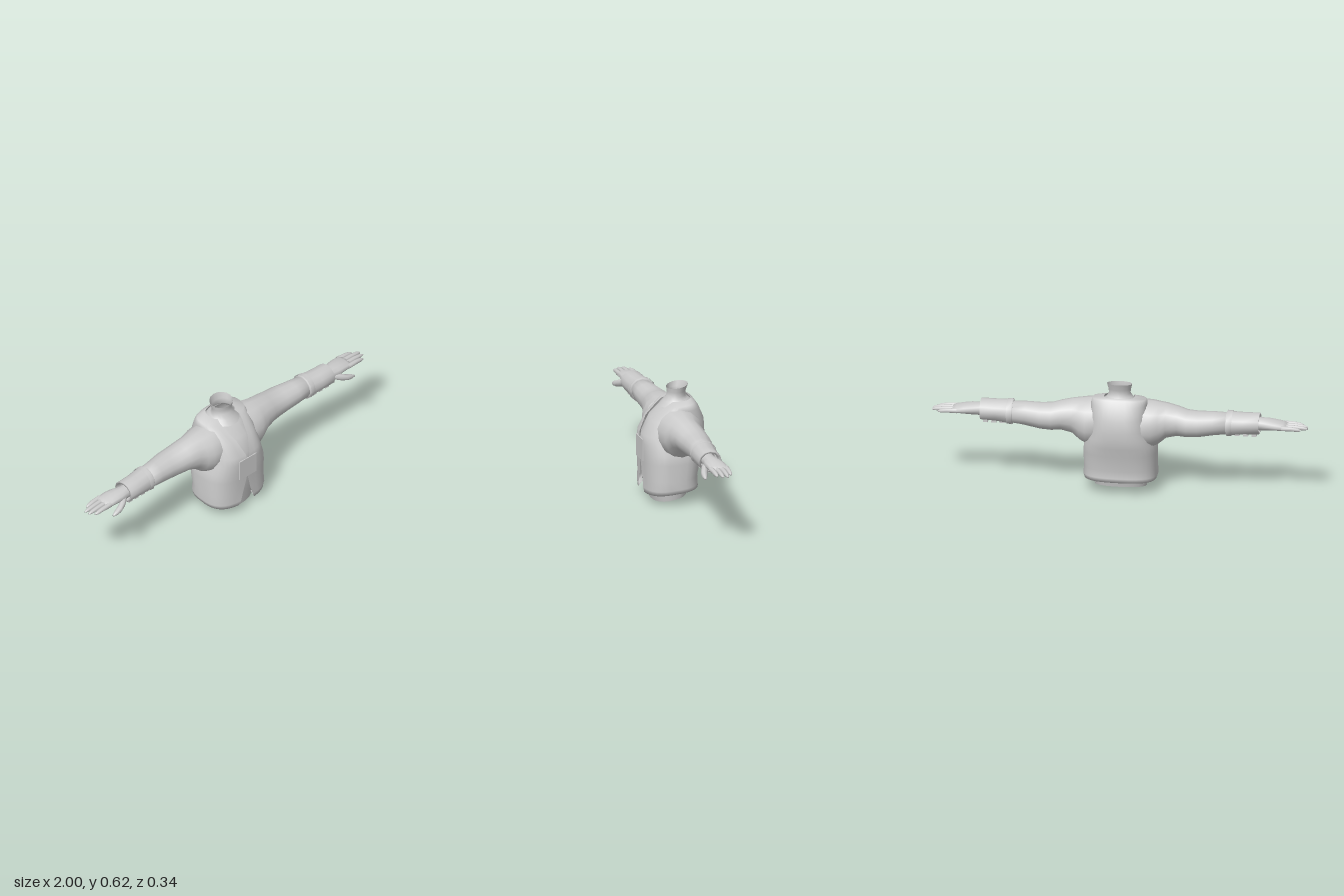
import * as THREE from 'three';

const mat = new THREE.MeshStandardMaterial({ color: 0xcccccc, side: THREE.DoubleSide });

function mesh(name, geo) {
  const m = new THREE.Mesh(geo, mat);
  m.name = name;
  return m;
}

// Skin a surface over rings of equal point count
function loft(rings, closed = true, caps = [false, false]) {
  const n = rings[0].length, pos = rings.flat(2), idx = [];
  for (let i = 0; i < rings.length - 1; i++) {
    for (let j = 0; j < (closed ? n : n - 1); j++) {
      const k = (j + 1) % n;
      const a = i * n + j, b = i * n + k, c = a + n, d = b + n;
      idx.push(a, b, c, b, d, c);
    }
  }
  caps.forEach((on, end) => {
    if (!on) return;
    const r = end ? rings[rings.length - 1] : rings[0];
    const base = end ? (rings.length - 1) * n : 0;
    const c = pos.length / 3;
    for (let q = 0; q < 3; q++) pos.push(r.reduce((s, p) => s + p[q], 0) / n);
    for (let j = 0; j < n; j++) {
      const k = (j + 1) % n;
      idx.push(c, base + (end ? j : k), base + (end ? k : j));
    }
  });
  const g = new THREE.BufferGeometry();
  g.setAttribute('position', new THREE.Float32BufferAttribute(pos, 3));
  g.setIndex(idx);
  g.computeVertexNormals();
  return g;
}

// Horizontal rings; rows are [yFront, yBack, halfWidth, zFront, zBack, frontGap]
function body(rows, power, n = 24, open = false) {
  const rings = rows.map(([yf, yb, hw, zf, zb, gap = 0]) => {
    const start = open ? Math.asin(Math.pow(Math.min(gap / hw, 1), 1 / power)) : 0;
    const ring = [];
    for (let j = 0; j < n; j++) {
      const t = open
        ? start + (j / (n - 1)) * (2 * Math.PI - 2 * start)
        : (j / n) * 2 * Math.PI;
      const s = Math.sin(t), c = Math.cos(t);
      const x = hw * Math.sign(s) * Math.abs(s) ** power;
      const w = Math.sign(c) * Math.abs(c) ** power;
      ring.push([x, (yf + yb) / 2 + w * (yf - yb) / 2, (zf + zb) / 2 + w * (zf - zb) / 2]);
    }
    return ring;
  });
  return loft(rings, !open);
}

// Rings along x; rows are [x, y, z, radiusY, radiusZ]
function limb(rows, side, n = 12, caps = [false, true]) {
  return loft(rows.map(([x, y, z, ry, rz]) => {
    const ring = [];
    for (let j = 0; j < n; j++) {
      const a = (side * j / n) * 2 * Math.PI;
      ring.push([side * x, y + ry * Math.cos(a), z + rz * Math.sin(a)]);
    }
    return ring;
  }), true, caps);
}

function createArm(side) {
  const arm = new THREE.Group();
  arm.name = side > 0 ? 'leftArm' : 'rightArm';

  arm.add(mesh('sleeve', limb([
    [0.12, 0.387, -0.012, 0.128, 0.122],
    [0.175, 0.385, -0.012, 0.126, 0.12],
    [0.21, 0.391, -0.012, 0.115, 0.106],
    [0.25, 0.406, -0.012, 0.094, 0.092],
    [0.31, 0.408, -0.018, 0.079, 0.086],
    [0.36, 0.4, -0.026, 0.073, 0.082],
    [0.42, 0.4, -0.027, 0.069, 0.078],
    [0.5, 0.405, -0.018, 0.063, 0.069],
    [0.59, 0.408, -0.012, 0.056, 0.06],
  ], side, 14)));

  // Forearm guard with a turned-in end
  arm.add(mesh('forearmGuard', limb([
    [0.568, 0.408, -0.012, 0.055, 0.058],
    [0.568, 0.408, -0.012, 0.067, 0.069],
    [0.6, 0.409, -0.011, 0.063, 0.067],
    [0.66, 0.41, -0.006, 0.058, 0.065],
    [0.742, 0.411, -0.003, 0.057, 0.063],
    [0.742, 0.411, -0.003, 0.048, 0.053],
    [0.71, 0.411, -0.003, 0.044, 0.048],
  ], side, 12, [false, false])));
  arm.add(mesh('guardBand', limb([
    [0.572, 0.408, -0.012, 0.07, 0.072],
    [0.6, 0.409, -0.011, 0.067, 0.07],
  ], side, 12, [false, false])));
  for (const x of [0.625, 0.67, 0.715]) {
    const strap = mesh('guardStrap', new THREE.BoxGeometry(0.026, 0.014, 0.062));
    strap.position.set(side * x, 0.354, -0.006);
    arm.add(strap);
  }

  // Hand
  arm.add(mesh('palm', limb([
    [0.7, 0.41, -0.002, 0.036, 0.038],
    [0.75, 0.41, -0.002, 0.034, 0.04],
    [0.79, 0.412, -0.006, 0.031, 0.051],
    [0.83, 0.412, -0.011, 0.026, 0.054],
    [0.87, 0.41, -0.013, 0.02, 0.054],
    [0.89, 0.408, -0.013, 0.013, 0.05],
  ], side)));
  const tips = [0.975, 0.998, 1, 0.965];
  tips.forEach((tip, i) => {
    const z = 0.028 - i * 0.0275, len = tip - 0.865;
    arm.add(mesh('finger', limb([
      [0.865, 0.41, z, 0.014, 0.014],
      [0.865 + len * 0.5, 0.409, z * 0.97, 0.0125, 0.013],
      [0.865 + len * 0.85, 0.405, z * 0.95, 0.01, 0.011],
      [tip, 0.402, z * 0.94, 0.004, 0.005],
    ], side, 8)));
  });
  arm.add(mesh('thumb', limb([
    [0.755, 0.4, 0.022, 0.02, 0.016],
    [0.79, 0.388, 0.042, 0.022, 0.021],
    [0.825, 0.374, 0.055, 0.018, 0.018],
    [0.855, 0.367, 0.06, 0.014, 0.014],
    [0.878, 0.362, 0.062, 0.005, 0.006],
  ], side, 8)));
  return arm;
}

export function createModel() {
  const model = new THREE.Group();
  model.name = 'vestedTorso';

  // Shirt, open at the waist and collar
  model.add(mesh('shirt', body([
    [0, 0.036, 0.138, 0.11, -0.075],
    [0.08, 0.1, 0.15, 0.125, -0.09],
    [0.2, 0.21, 0.165, 0.148, -0.12],
    [0.3, 0.31, 0.155, 0.154, -0.15],
    [0.365, 0.37, 0.138, 0.153, -0.154],
    [0.445, 0.45, 0.132, 0.112, -0.148],
    [0.49, 0.515, 0.125, 0.055, -0.115],
    [0.515, 0.535, 0.085, 0.035, -0.09],
  ], 0.85)));

  // Vest with hem fold, neck opening and lower front split
  model.add(mesh('vest', body([
    [0.08, 0.1, 0.165, 0.14, -0.105, 0.05],
    [0.05, 0.079, 0.19, 0.162, -0.13, 0.055],
    [0.075, 0.1, 0.197, 0.164, -0.128, 0.043],
    [0.13, 0.14, 0.193, 0.162, -0.126, 0.025],
    [0.22, 0.23, 0.195, 0.166, -0.146, 0.002],
    [0.27, 0.28, 0.189, 0.169, -0.16, 0.001],
    [0.32, 0.325, 0.173, 0.17, -0.17, 0.001],
    [0.365, 0.375, 0.16, 0.168, -0.171, 0.012],
    [0.445, 0.44, 0.152, 0.127, -0.167, 0.04],
    [0.5, 0.508, 0.15, 0.065, -0.137, 0.062],
    [0.522, 0.54, 0.142, 0.035, -0.115, 0.068],
    [0.535, 0.547, 0.08, 0.015, -0.1, 0.06],
  ], 0.72, 33, true)));

  // Flared neck, open at the top
  model.add(mesh('neck', body([
    [0.503, 0.53, 0.088, 0.066, -0.11],
    [0.53, 0.545, 0.068, 0.042, -0.09],
    [0.557, 0.557, 0.057, 0.021, -0.076],
    [0.58, 0.585, 0.061, 0.019, -0.08],
    [0.6, 0.62, 0.067, 0.022, -0.092],
  ], 1, 16)));

  const panel = mesh('chestPanel', new THREE.BoxGeometry(0.122, 0.118, 0.006));
  panel.position.set(0, 0.283, 0.17);
  model.add(panel);

  for (const side of [1, -1]) model.add(createArm(side));
  return model;
}
